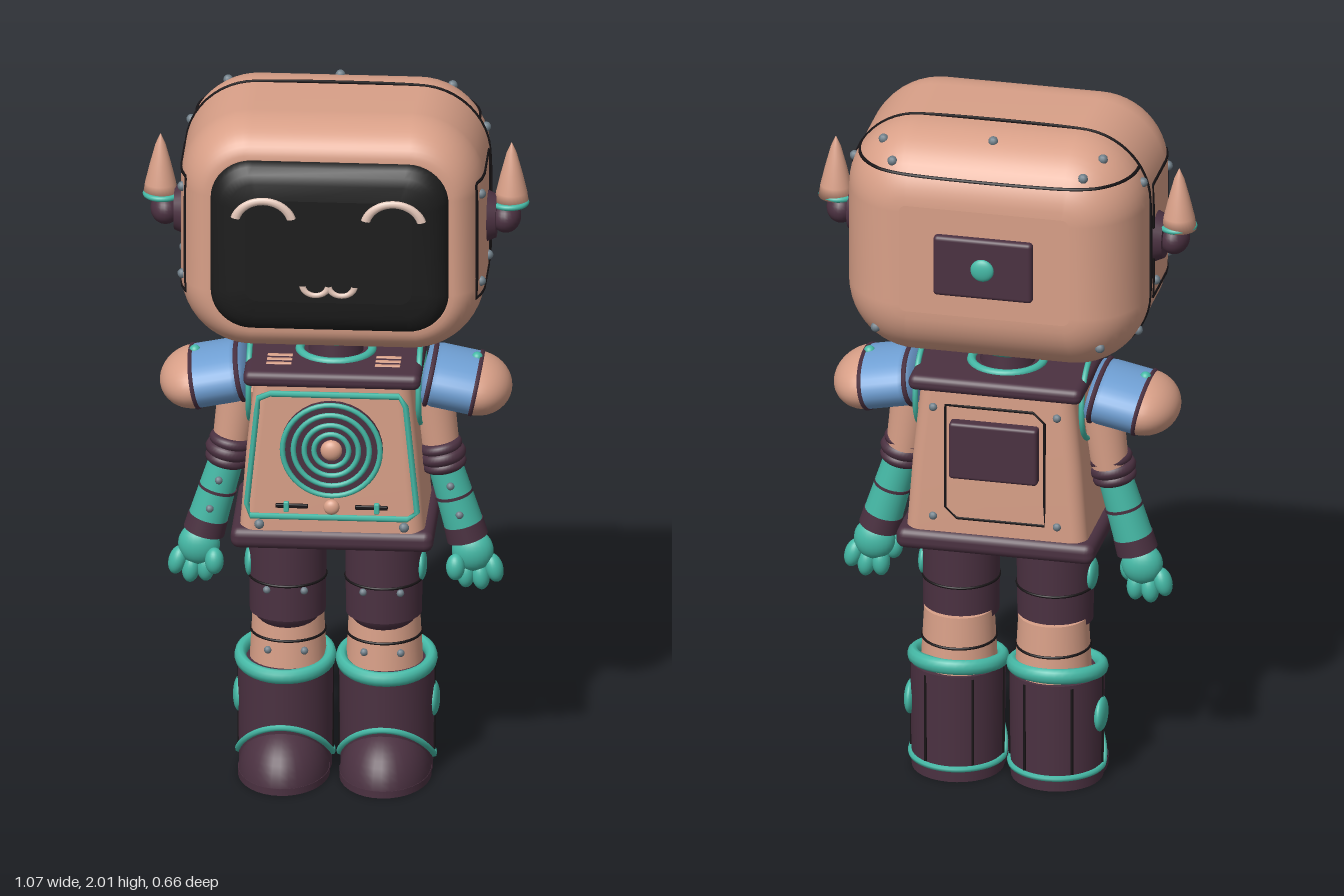
import * as THREE from 'three';
import { RoundedBoxGeometry } from 'three/addons/geometries/RoundedBoxGeometry.js';

const V = (x, y, z) => new THREE.Vector3(x, y, z);
const paint = (name, color) => Object.assign(new THREE.MeshStandardMaterial({ color }), { name });

// Skin over rounded-rectangle sections [z, halfWidth, halfHeight, radius], with flat end caps
function loft(sections, k = 8) {
  const pos = [], idx = [], n = 4 * (k + 1);
  const ring = ([z, hw, hh, r]) => {
    for (let c = 0; c < 4; c++) for (let i = 0; i <= k; i++) {
      const a = (c + i / k) * Math.PI / 2;
      const sx = c === 0 || c === 3 ? 1 : -1, sy = c < 2 ? 1 : -1;
      pos.push(sx * (hw - r) + r * Math.cos(a), sy * (hh - r) + r * Math.sin(a), z);
    }
  };
  sections.forEach(ring);
  for (let s = 0; s < sections.length - 1; s++) for (let i = 0; i < n; i++) {
    const a = s * n + i, b = s * n + (i + 1) % n;
    idx.push(a, b, b + n, a, b + n, a + n);
  }
  [sections[0], sections.at(-1)].forEach((sec, end) => {
    const start = pos.length / 3;
    ring(sec);
    pos.push(0, 0, sec[0]);
    for (let i = 0; i < n; i++) {
      const a = start + i, b = start + (i + 1) % n;
      idx.push(start + n, end ? a : b, end ? b : a);
    }
  });
  const g = new THREE.BufferGeometry();
  g.setAttribute('position', new THREE.Float32BufferAttribute(pos, 3));
  g.setIndex(idx);
  g.computeVertexNormals();
  return g;
}

// Head shape: how far a section at depth z is drawn in, and its surface at a point
const HEAD_Y = 1.66;
const headInset = z => z > 0.12 ? 0.09 * (1 - Math.sqrt(Math.max(0, 1 - ((z - 0.12) / 0.15) ** 2)))
  : z < -0.1 ? 0.18 * (1 - Math.sqrt(Math.max(0, 1 - ((z + 0.1) / 0.2) ** 2))) : 0;
const headSection = z => {
  const e = headInset(z);
  return [z, 0.42 - e, 0.34 - e, Math.max(0.2 - e, 0.02)];
};
const edge = (d, along, across, r) => {
  const o = Math.max(0, Math.abs(d) - (across - r));
  return along - r + Math.sqrt(Math.max(0, r * r - o * o));
};
const headX = (y, z) => { const [, w, h, r] = headSection(z); return edge(y - HEAD_Y, w, h, r); };
const headTop = (x, z) => { const [, w, h, r] = headSection(z); return HEAD_Y + edge(x, h, w, r); };

export function createModel() {
  const model = new THREE.Group();
  model.name = 'robot';
  const peach = paint('peach shell', 0xd9a088), plum = paint('dark plum', 0x4b3141);
  const teal = paint('teal', 0x45b9a6), blue = paint('blue', 0x6f9fd3), black = paint('screen black', 0x1d1d1d);
  const pale = paint('pale pink', 0xe6c8ba), grey = paint('screw grey', 0x6f7e88), line = paint('seam', 0x181416);

  const add = (name, geo, mat, x = 0, y = 0, z = 0) => {
    const m = new THREE.Mesh(geo, mat);
    m.name = name;
    m.position.set(x, y, z);
    model.add(m);
    return m;
  };
  const ball = (name, mat, x, y, z, rx, ry = rx, rz = rx) =>
    add(name, new THREE.SphereGeometry(1, 24, 16).scale(rx, ry, rz), mat, x, y, z);
  const cyl = (name, mat, x, y, z, rTop, rBottom, h) =>
    add(name, new THREE.CylinderGeometry(rTop, rBottom, h, 32), mat, x, y, z);
  const hoop = (name, mat, x, y, z, r, tube) =>
    add(name, new THREE.TorusGeometry(r, tube, 10, 40).rotateX(Math.PI / 2), mat, x, y, z);
  const box = (name, mat, x, y, z, w, h, d, r = 0.01) =>
    add(name, new RoundedBoxGeometry(w, h, d, 3, r), mat, x, y, z);
  const rod = (name, mat, a, b, ra, rb = ra) => {
    const m = cyl(name, mat, 0, 0, 0, rb, ra, a.distanceTo(b));
    m.position.copy(a).lerp(b, 0.5);
    m.quaternion.setFromUnitVectors(V(0, 1, 0), b.clone().sub(a).normalize());
    return m;
  };
  const wire = (name, mat, pts, r = 0.004, closed = false, sharp = false) => add(name, new THREE.TubeGeometry(
    new THREE.CatmullRomCurve3(pts, closed, sharp ? 'catmullrom' : 'centripetal', 0), pts.length * 5, r, 6, closed), mat);
  const screw = (x, y, z, r = 0.014) => add('screw', new THREE.SphereGeometry(r, 10, 8), grey, x, y, z);

  // Head shell and domed screen
  const zs = [];
  for (let i = 0; i <= 12; i++) zs.push(-0.1 - 0.2 * Math.cos(i / 12 * Math.PI / 2));
  for (let i = 0; i <= 12; i++) zs.push(0.12 + 0.15 * Math.sin(i / 12 * Math.PI / 2));
  add('head', loft(zs.map(headSection), 12), peach, 0, HEAD_Y, 0);
  add('screen', loft([[0.262, 0], [0.275, 0.002], [0.292, 0.012], [0.306, 0.03], [0.315, 0.055], [0.32, 0.1]]
    .map(([z, e]) => [z, 0.33 - e, 0.25 - e, 0.115 - e * 0.8]), 10), black, 0, HEAD_Y, 0);

  // Face
  const arc = (name, x, y, r, tube, start, sweep) => add(name,
    new THREE.TorusGeometry(r, tube, 8, 20, sweep).rotateZ(start).scale(1, 0.85, 0.6), pale, x, y, 0.32);
  for (const s of [-1, 1]) {
    arc('eye', s * 0.18, 1.74, 0.08, 0.013, 0.25, Math.PI - 0.5);
    arc('mouth', s * 0.036, 1.562, 0.036, 0.009, Math.PI + 0.1, Math.PI - 0.2);
  }

  // Head seams: hoop around the shell and lid line across the back
  const hoopPts = [], lid = [];
  for (let c = 0; c < 4; c++) for (let i = 0; i <= 6; i++) {
    const a = (c + i / 6) * Math.PI / 2, sx = c % 3 ? -1 : 1, sy = c < 2 ? 1 : -1;
    hoopPts.push(V(sx * 0.22 + 0.2 * Math.cos(a), HEAD_Y + sy * 0.14 + 0.2 * Math.sin(a), -0.08));
  }
  wire('headSeam', line, hoopPts, 0.005, true);
  for (let i = 0; i <= 10; i++) lid.push(V(headX(1.905, -0.08 - 0.0196 * i), 1.905, -0.08 - 0.0196 * i));
  wire('lidSeam', line, [...lid, ...lid.map(p => V(-p.x, p.y, p.z)).reverse()], 0.005);

  // Rear head plate
  box('rearHeadPlate', plum, 0, 1.655, -0.305, 0.28, 0.18, 0.03, 0.012);
  ball('rearHeadButton', teal, 0, 1.655, -0.32, 0.033, 0.033, 0.014);
  for (const x of [-0.31, 0, 0.31]) screw(x, headTop(x, -0.18), -0.18);

  for (const s of [-1, 1]) {
    // Head side panel and screws
    const path = [], corners = [[1.49, 0.21], [1.49, -0.04], [1.83, -0.04], [1.83, 0.21]];
    corners.forEach(([y, z], c) => {
      const [y2, z2] = corners[(c + 1) % 4];
      for (let i = 0; i < 6; i++) {
        const py = y + (y2 - y) * i / 6, pz = z + (z2 - z) * i / 6;
        path.push(V(s * headX(py, pz), py, pz));
      }
    });
    wire('sidePanelSeam', line, path, 0.005, true, true);
    for (const [y, z] of [[1.79, 0.18], [1.53, 0.18], [1.53, -0.01], [1.87, -0.11], [1.42, -0.11], [1.93, -0.25], [1.42, -0.25]])
      screw(s * headX(y, z), y, z);

    // Ear with upright horn
    rod('earBase', plum, V(s * 0.4, 1.655, 0.01), V(s * 0.445, 1.655, 0.01), 0.08, 0.06);
    ball('earHub', plum, s * 0.47, 1.655, 0.01, 0.042, 0.045, 0.055);
    hoop('earRing', teal, s * 0.48, 1.695, 0.005, 0.046, 0.008);
    const horn = [[0.001, -0.012], [0.048, -0.005], [0.043, 0.03], [0.03, 0.085], [0.014, 0.145], [0.001, 0.175]];
    add('earHorn', new THREE.LatheGeometry(horn.map(p => new THREE.Vector2(...p)), 28), peach, s * 0.485, 1.695, 0);

    // Shoulder: blue sleeve and peach dome, oval in section and tilted down
    const part = (name, mat, pts) => {
      const g = new THREE.LatheGeometry(pts.map(p => new THREE.Vector2(...p)), 36);
      g.rotateZ(-Math.PI / 2).scale(1, 0.08, 0.135);
      if (s < 0) g.rotateY(Math.PI);
      add(name, g, mat, s * 0.25, 1.178, 0).rotation.z = -s * 0.2;
    };
    const dome = [];
    for (let i = 0; i <= 10; i++) dome.push([Math.max(0.001, Math.cos(i / 10 * Math.PI / 2)), 0.14 + 0.1 * Math.sin(i / 10 * Math.PI / 2)]);
    part('shoulderSleeve', blue, [[0.01, -0.01], [0.92, -0.005], [1, 0.03], [1, 0.14]]);
    part('shoulderDome', peach, dome);
    for (const t of [0.012, 0.14]) part('shoulderBand', plum, [[0.97, t - 0.007], [1.04, t - 0.004], [1.04, t + 0.004], [0.97, t + 0.007]]);
    add('shoulderRing', new THREE.TorusGeometry(0.118, 0.008, 8, 40).rotateY(Math.PI / 2), teal, s * 0.235, 1.155, 0);
    ball('shoulderStud', teal, s * 0.39, 1.226, 0, 0.016);

    // Arm
    rod('upperArm', peach, V(s * 0.265, 1.13, 0), V(s * 0.29, 0.95, 0), 0.06, 0.052);
    for (let i = 0; i < 3; i++) {
      const h = hoop('elbowRing', plum, s * (0.288 + i * 0.006), 0.968 - i * 0.027, 0.01, 0.046, i === 1 ? 0.021 : 0.016);
      h.rotation.z = s * 0.2;
    }
    rod('elbow', plum, V(s * 0.285, 0.98, 0.01), V(s * 0.305, 0.89, 0.01), 0.045);
    rod('forearm', teal, V(s * 0.305, 0.9, 0.01), V(s * 0.356, 0.725, 0.01), 0.048, 0.055);
    rod('forearmSeam', plum, V(s * 0.325, 0.828, 0.01), V(s * 0.327, 0.82, 0.01), 0.053);
    rod('cuff', plum, V(s * 0.352, 0.74, 0.01), V(s * 0.364, 0.695, 0.01), 0.056, 0.058);
    for (const [x, y] of [[0.32, 0.865], [0.345, 0.78]]) screw(s * x, y, 0.062, 0.011);

    // Hand
    ball('palm', teal, s * 0.378, 0.655, 0.01, 0.058, 0.06, 0.045);
    for (const [x, y, z] of [[0.36, 0.587, 0.01], [0.4, 0.582, 0.01], [0.437, 0.605, 0.01]])
      ball('finger', teal, s * x, y, z, 0.025, 0.042, 0.03).rotation.z = s * (x - 0.37) * 4;
    ball('thumb', teal, s * 0.333, 0.62, 0.05, 0.026, 0.038, 0.028);

    // Thigh, knee and shin
    const lx = s * 0.133;
    cyl('thigh', plum, lx, 0.595, 0.01, 0.108, 0.105, 0.25);
    ball('knee', plum, lx, 0.5, 0.025, 0.1, 0.085, 0.085);
    hoop('thighTrim', teal, lx, 0.7, 0.01, 0.106, 0.008);
    hoop('thighSeam', line, lx, 0.575, 0.01, 0.106, 0.004);
    ball('thighButton', teal, s * 0.237, 0.61, 0.01, 0.015, 0.045, 0.045);
    cyl('shin', peach, lx, 0.39, -0.015, 0.097, 0.108, 0.2);
    hoop('shinSeam', line, lx, 0.4, -0.015, 0.102, 0.004);
    for (const a of [-0.5, 0.5]) {
      screw(lx + 0.107 * Math.sin(a), 0.56, 0.01 + 0.107 * Math.cos(a), 0.011);
      screw(lx + 0.105 * Math.sin(a), 0.37, -0.015 + 0.105 * Math.cos(a), 0.011);
    }

    // Boot
    const bx = s * 0.14;
    cyl('bootShaft', plum, bx, 0.16, 0, 0.132, 0.128, 0.32);
    add('bootToe', new THREE.SphereGeometry(1, 32, 12, 0, Math.PI * 2, 0, Math.PI / 2).scale(0.127, 0.155, 0.18), plum, bx, 0, 0.055);
    add('bootSole', new THREE.CylinderGeometry(1, 1, 0.02, 36).scale(0.127, 1, 0.18), plum, bx, 0.01, 0.055);
    add('bootCuff', new THREE.TorusGeometry(0.124, 0.017, 10, 40).rotateX(Math.PI / 2).scale(1, 1.3, 1), teal, bx, 0.328, 0.003).rotation.x = 0.15;
    const trim = [];
    for (let i = 0; i < 32; i++) {
      const a = i / 32 * Math.PI * 2;
      trim.push(V(bx + 0.13 * Math.sin(a), 0.04 + 0.12 * Math.max(0, Math.cos(a)) ** 1.2, 0.13 * Math.cos(a)));
    }
    wire('bootTrim', teal, trim, 0.009, true);
    for (const a of [1.65, 2.6, 3.68, 4.63]) {
      const x = bx + 0.13 * Math.sin(a), z = 0.13 * Math.cos(a);
      rod('bootSeam', line, V(x, 0.05, z), V(x, 0.31, z), 0.004);
    }
    ball('bootButton', teal, s * 0.268, 0.2, -0.018, 0.018, 0.05, 0.05);
  }

  // Neck
  add('neckCollar', new THREE.LatheGeometry([[0.001, 1.25], [0.065, 1.27], [0.08, 1.29], [0.105, 1.305], [0.105, 1.335], [0.001, 1.335]]
    .map(p => new THREE.Vector2(...p)), 36), teal);
  cyl('neck', plum, 0, 1.255, 0, 0.072, 0.078, 0.06);
  hoop('neckRing', teal, 0, 1.243, 0, 0.1, 0.012);

  // Tapered torso with top and bottom rims
  add('torso', loft([[0.74, 0.258, 0.172, 0.04], [1.0, 0.238, 0.172, 0.04], [1.22, 0.215, 0.17, 0.04]]).rotateX(-Math.PI / 2), peach, 0, 0, 0.013);
  box('topRim', plum, 0, 1.22, 0.01, 0.49, 0.046, 0.365, 0.02);
  box('bottomRim', plum, 0, 0.745, 0.01, 0.56, 0.062, 0.37, 0.025);
  for (const s of [-1, 1]) for (const z of [0.06, 0.09, 0.12])
    box('topVent', peach, s * 0.15, 1.243, z, 0.07, 0.006, 0.014, 0.002);

  // Chest frame and round speaker
  const frame = [[-0.225, 0.815], [0.225, 0.815], [0.236, 0.835], [0.203, 1.165], [0.188, 1.18], [-0.188, 1.18], [-0.203, 1.165], [-0.236, 0.835]];
  wire('chestFrame', teal, frame.map(([x, y]) => V(x, y, 0.186)), 0.009, true, true);
  rod('speaker', plum, V(0, 1.02, 0.18), V(0, 1.02, 0.197), 0.142);
  for (const r of [0.135, 0.105, 0.075, 0.048])
    add('speakerRing', new THREE.TorusGeometry(r, 0.0075, 8, 44), teal, 0, 1.02, 0.2);
  ball('speakerCentre', peach, 0, 1.02, 0.198, 0.03, 0.03, 0.02);
  ball('chestKnob', peach, 0, 0.847, 0.19, 0.022, 0.022, 0.015);
  for (const s of [-1, 1]) {
    box('slider', line, s * 0.11, 0.847, 0.187, 0.09, 0.012, 0.01, 0.003);
    box('sliderKnob', teal, s * 0.125, 0.847, 0.193, 0.014, 0.03, 0.014, 0.003);
    screw(s * 0.2, 0.79, 0.186);
    for (const y of [0.82, 1.15]) screw(s * 0.175, y, -0.158, 0.012);
  }

  // Back plate and hatch outline
  box('backPlate', plum, 0, 1.035, -0.17, 0.25, 0.17, 0.04, 0.01);
  wire('hatchSeam', line, [[-0.14, 0.82], [0.14, 0.82], [0.14, 1.16], [-0.14, 1.16]].map(([x, y]) => V(x, y, -0.159)), 0.004, true, true);

  return model;
}
